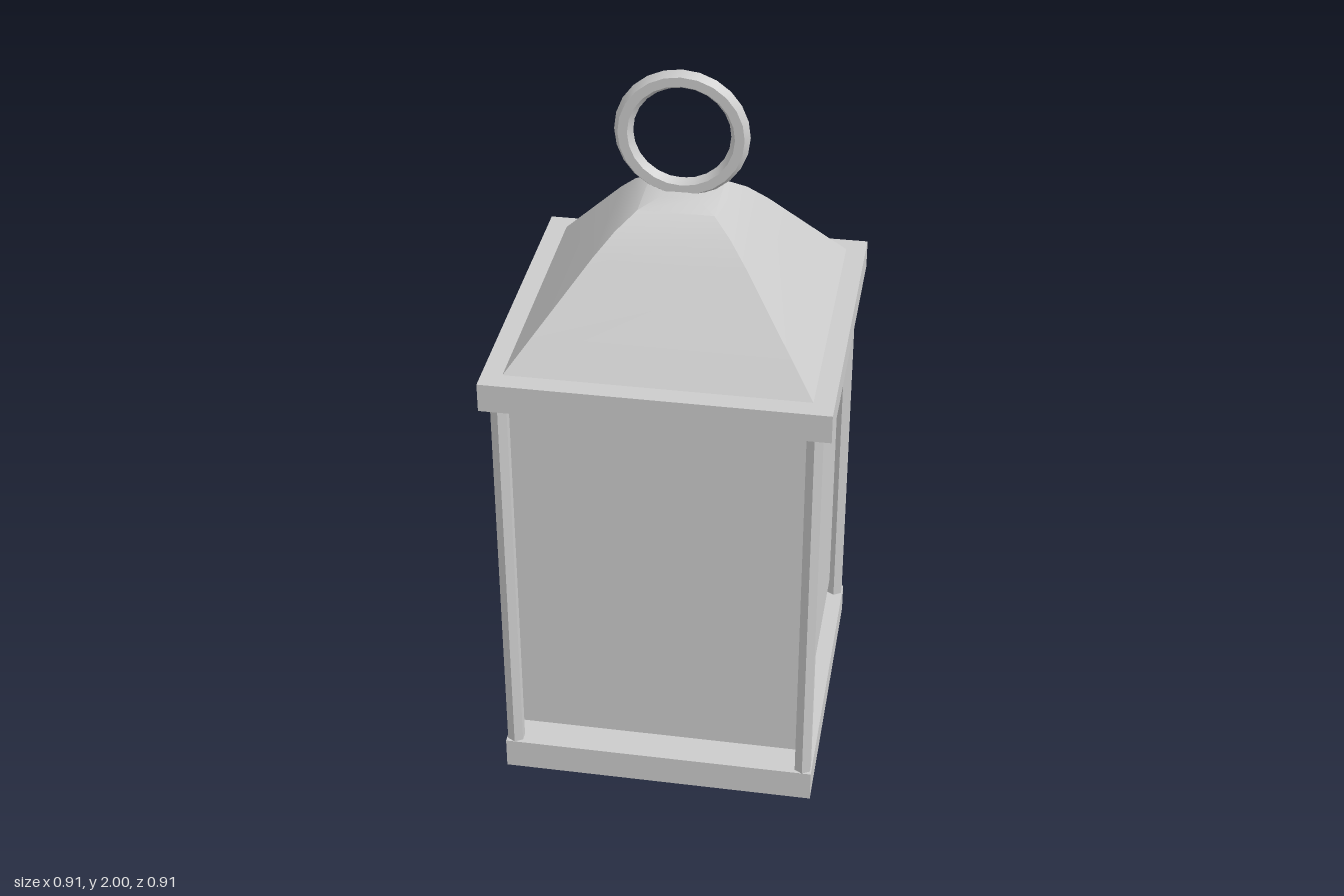
import * as THREE from 'three';
import { toCreasedNormals } from 'three/addons/utils/BufferGeometryUtils.js';

// Square loft through [halfWidth, y] rings, closed at the top
function squareLoft(rings) {
  const pos = [];
  const corner = ([h, y], k) => [
    [h, y, h], [h, y, -h], [-h, y, -h], [-h, y, h],
  ][k % 4];
  for (let i = 0; i < rings.length - 1; i++) {
    for (let k = 0; k < 4; k++) {
      const a = corner(rings[i], k), b = corner(rings[i], k + 1);
      const c = corner(rings[i + 1], k + 1), d = corner(rings[i + 1], k);
      pos.push(...a, ...b, ...c, ...a, ...c, ...d);
    }
  }
  const [p, q, r, s] = [0, 1, 2, 3].map((k) => corner(rings[rings.length - 1], k));
  pos.push(...p, ...q, ...r, ...p, ...r, ...s);
  const geo = new THREE.BufferGeometry();
  geo.setAttribute('position', new THREE.Float32BufferAttribute(pos, 3));
  return toCreasedNormals(geo, 0.7);
}

export function createModel() {
  const group = new THREE.Group();
  const metal = new THREE.MeshStandardMaterial({ color: 0xcccccc });
  metal.name = 'light grey';

  const add = (name, geo, x, y, z) => {
    const mesh = new THREE.Mesh(geo, metal);
    mesh.name = name;
    mesh.position.set(x, y, z);
    group.add(mesh);
  };

  // Base, glass body and eaves
  add('base', new THREE.BoxGeometry(0.87, 0.09, 0.87), 0, 0.045, 0);
  add('glass', new THREE.BoxGeometry(0.79, 1.09, 0.79), 0, 0.685, 0);
  add('eaves', new THREE.BoxGeometry(0.91, 0.08, 0.91), 0, 1.26, 0);

  // Candle standing on the base
  add('candle', new THREE.CylinderGeometry(0.12, 0.12, 0.4, 24), 0, 0.29, 0);

  // Corner posts
  for (const x of [-1, 1]) {
    for (const z of [-1, 1]) {
      const post = toCreasedNormals(new THREE.CylinderGeometry(0.025, 0.025, 1.15, 6), 0.7);
      add('cornerPost', post, x * 0.41, 0.655, z * 0.41);
    }
  }

  // Roof, straight below and rounded off at the top
  add('roof', squareLoft([
    [0.4, 1.30], [0.2, 1.55], [0.15, 1.605], [0.1, 1.645], [0.05, 1.662], [0.015, 1.665],
  ]), 0, 0, 0);

  // Carrying ring
  const ring = toCreasedNormals(new THREE.TorusGeometry(0.152, 0.025, 6, 24), 0.7);
  add('ring', ring, 0, 1.823, 0);

  return group;
}
